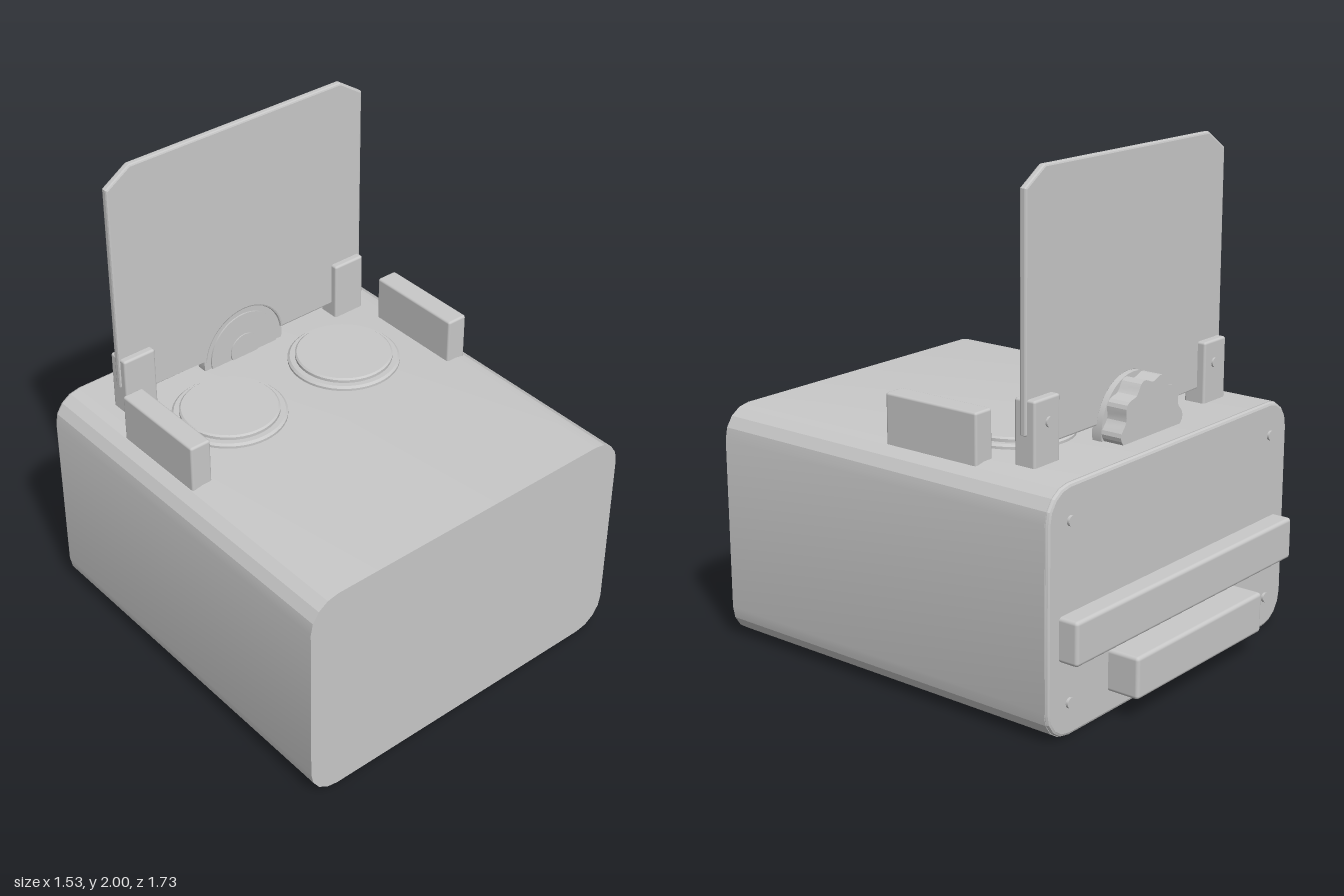
import * as THREE from 'three';
import { toCreasedNormals } from 'three/addons/utils/BufferGeometryUtils.js';
import { RoundedBoxGeometry } from 'three/addons/geometries/RoundedBoxGeometry.js';

export function createModel() {
  const model = new THREE.Group();
  model.name = 'boxWithRaisedPanel';
  const grey = new THREE.MeshStandardMaterial({ color: 0xc8c8c8 });
  grey.name = 'light grey';

  const add = (name, geometry, x = 0, y = 0, z = 0) => {
    const mesh = new THREE.Mesh(geometry, grey);
    mesh.name = name;
    mesh.position.set(x, y, z);
    model.add(mesh);
    return mesh;
  };

  // Box given by its limits on each axis
  const block = (name, x0, x1, y0, y1, z0, z1, r = 0.01) =>
    add(name, new RoundedBoxGeometry(x1 - x0, y1 - y0, z1 - z0, 2, r),
      (x0 + x1) / 2, (y0 + y1) / 2, (z0 + z1) / 2);

  // Outline pushed along z, with an optional bevel kept inside the outline
  const extrude = (shape, depth, bevel, curveSegments) => toCreasedNormals(
    new THREE.ExtrudeGeometry(shape, {
      depth: depth - 2 * bevel, curveSegments, bevelEnabled: bevel > 0,
      bevelSize: bevel, bevelThickness: bevel, bevelOffset: -bevel, bevelSegments: 2,
    }).translate(0, 0, bevel), 0.3);

  const roundedRect = (w, y0, y1, r) => {
    const s = new THREE.Shape();
    s.absarc(w - r, y0 + r, r, -Math.PI / 2, 0);
    s.absarc(w - r, y1 - r, r, 0, Math.PI / 2);
    s.absarc(-w + r, y1 - r, r, Math.PI / 2, Math.PI);
    s.absarc(-w + r, y0 + r, r, Math.PI, Math.PI * 1.5);
    return s;
  };

  // Cylinder lying along z between two depths
  const disc = (name, r, z0, z1, x, y, sides = 32) =>
    add(name, new THREE.CylinderGeometry(r, r, z1 - z0, sides).rotateX(Math.PI / 2),
      x, y, (z0 + z1) / 2);

  // Main housing and bevelled back plate
  add('housing', extrude(roundedRect(0.765, 0, 0.945, 0.125), 1.577, 0, 2), 0, 0, -0.715);
  add('backPlate', extrude(roundedRect(0.763, 0.002, 0.943, 0.123), 0.03, 0.012, 2), 0, 0, -0.73);

  // Bars on the back
  block('upperBackBar', -0.7, 0.7, 0.3, 0.47, -0.81, -0.7, 0.015);
  block('lowerBackBar', -0.41, 0.41, 0.09, 0.255, -0.863, -0.7, 0.015);

  // Upright panel with cut corners and an arched notch at its foot
  const panel = new THREE.Shape();
  panel.moveTo(0.5, 1);
  panel.lineTo(0.607, 1.06);
  panel.lineTo(0.607, 1.93);
  panel.lineTo(0.5, 2);
  panel.lineTo(-0.5, 2);
  panel.lineTo(-0.607, 1.93);
  panel.lineTo(-0.607, 1.06);
  panel.lineTo(-0.5, 1);
  panel.lineTo(-0.188, 1);
  panel.absarc(0, 0.975, 0.19, Math.PI - 0.132, 0.132, true);
  add('panel', extrude(panel, 0.03, 0.008, 10), 0, 0, -0.506);

  // Scalloped knob behind the panel, with its disc and hub in the notch
  const lobes = 10;
  const outline = [];
  for (let i = 0; i < lobes * 8; i++) {
    const a = (i / (lobes * 8)) * Math.PI * 2;
    const r = 0.184 + 0.012 * Math.cos(lobes * a);
    outline.push(new THREE.Vector2(r * Math.cos(a), r * Math.sin(a)));
  }
  add('knob', extrude(new THREE.Shape(outline), 0.11, 0, 1), 0, 0.975, -0.617);
  disc('knobFlange', 0.197, -0.53, -0.487, 0, 0.975, 48);
  disc('knobFace', 0.165, -0.51, -0.481, 0, 0.975, 48);
  disc('knobHub', 0.07, -0.5, -0.476, 0, 0.975);

  // Low stepped turntables on the deck
  const padProfile = [[0, 0], [0.227, 0], [0.227, 0.01], [0.218, 0.018], [0.197, 0.018],
    [0.197, 0.03], [0.19, 0.036], [0, 0.036]].map(([r, y]) => new THREE.Vector2(r, y));

  for (const s of [-1, 1]) {
    const side = s > 0 ? 'left' : 'right';
    const mirrored = (name, a, b, ...rest) =>
      block(side + name, Math.min(s * a, s * b), Math.max(s * a, s * b), ...rest);

    add(side + 'Pad', toCreasedNormals(new THREE.LatheGeometry(padProfile, 48), 0.5),
      s * 0.29, 0.945, -0.203);
    mirrored('Rail', 0.595, 0.685, 0.86, 1.132, -0.345, 0.085);
    mirrored('Bracket', 0.455, 0.6, 0.92, 1.19, -0.54, -0.448);
    disc(side + 'BracketScrew', 0.02, -0.548, -0.53, s * 0.52, 1.1, 12);
    for (const y of [0.13, 0.81]) disc(side + 'BackScrew', 0.02, -0.74, -0.72, s * 0.64, y, 12);
  }
  return model;
}
